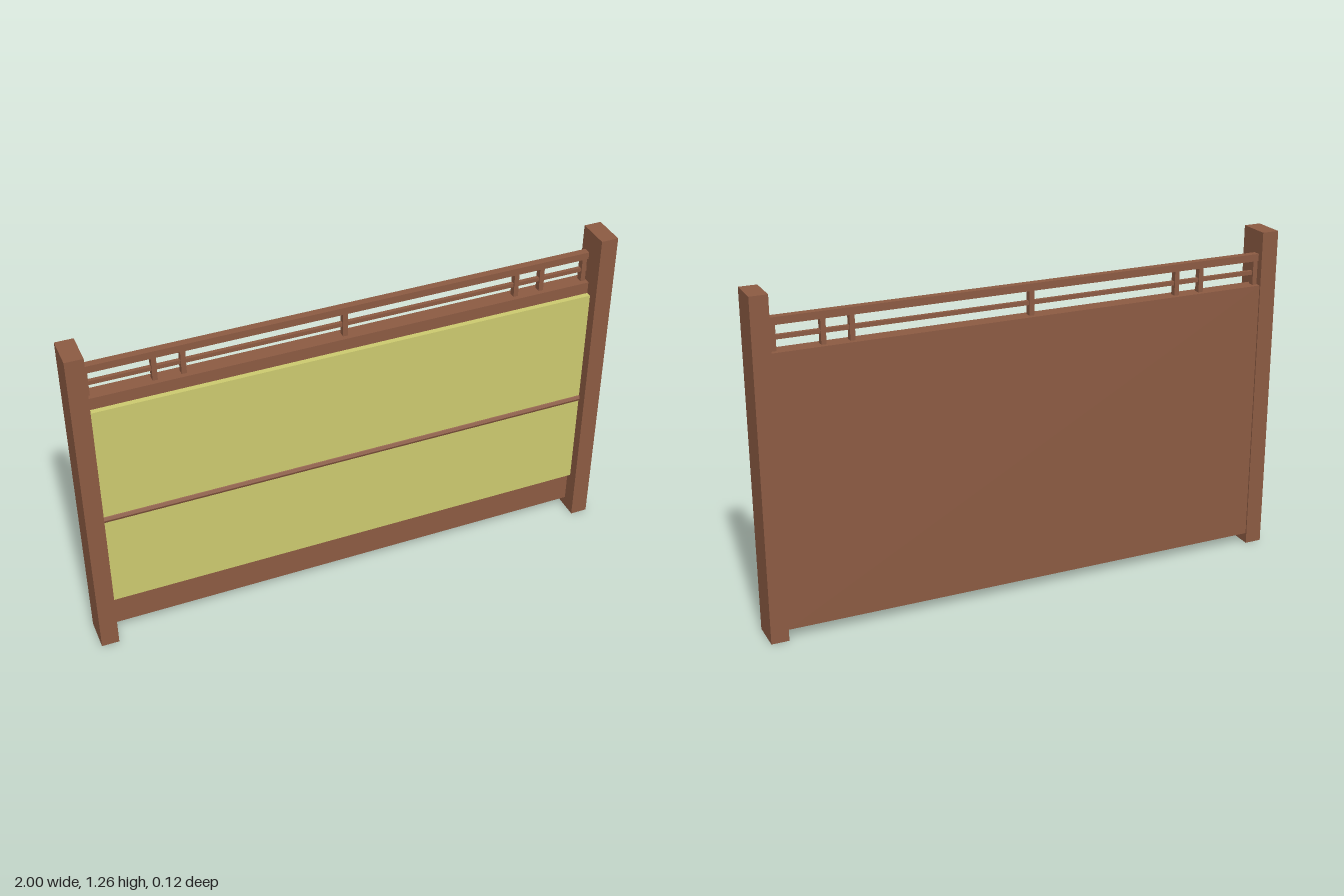
import * as THREE from 'three';

export function createModel() {
  const group = new THREE.Group();
  const wood = new THREE.MeshStandardMaterial({ color: 0x8b5a42, flatShading: true });
  const fabric = new THREE.MeshStandardMaterial({ color: 0xcbc96e, flatShading: true });

  // Box given by its extents on each axis
  function box(name, [x0, x1], [y0, y1], [z0, z1], material = wood) {
    const mesh = new THREE.Mesh(new THREE.BoxGeometry(x1 - x0, y1 - y0, z1 - z0), material);
    mesh.position.set((x0 + x1) / 2, (y0 + y1) / 2, (z0 + z1) / 2);
    mesh.name = name;
    group.add(mesh);
    return mesh;
  }

  const inner = 0.935; // inner face of the posts
  const span = [-inner, inner];

  // End posts
  box('leftPost', [inner, 1], [0, 1.257], [-0.0625, 0.0625]);
  box('rightPost', [-1, -inner], [0, 1.257], [-0.0625, 0.0625]);

  // Solid wooden wall with a coloured panel on its front
  box('wall', span, [0.04, 1.055], [-0.057, 0.003]);
  box('frontPanel', span, [0.17, 1.01], [0.003, 0.023], fabric);

  // Slim rounded rail across the panel
  const rail = new THREE.Mesh(new THREE.CylinderGeometry(0.015, 0.015, 2 * inner, 8), wood);
  rail.rotation.z = Math.PI / 2;
  rail.position.set(0, 0.55, 0.016);
  rail.name = 'middleRail';
  group.add(rail);

  // Open railing on top: cap, thin bar and unevenly spaced uprights
  box('topRail', span, [1.145, 1.172], [-0.041, -0.013]);
  box('thinBar', span, [1.093, 1.108], [-0.034, -0.02]);
  for (const x of [-0.924, -0.692, -0.591, -0.009, 0.649, 0.75, 0.921]) {
    box('upright', [x - 0.009, x + 0.009], [1.055, 1.145], [-0.039, -0.015]);
  }

  return group;
}
